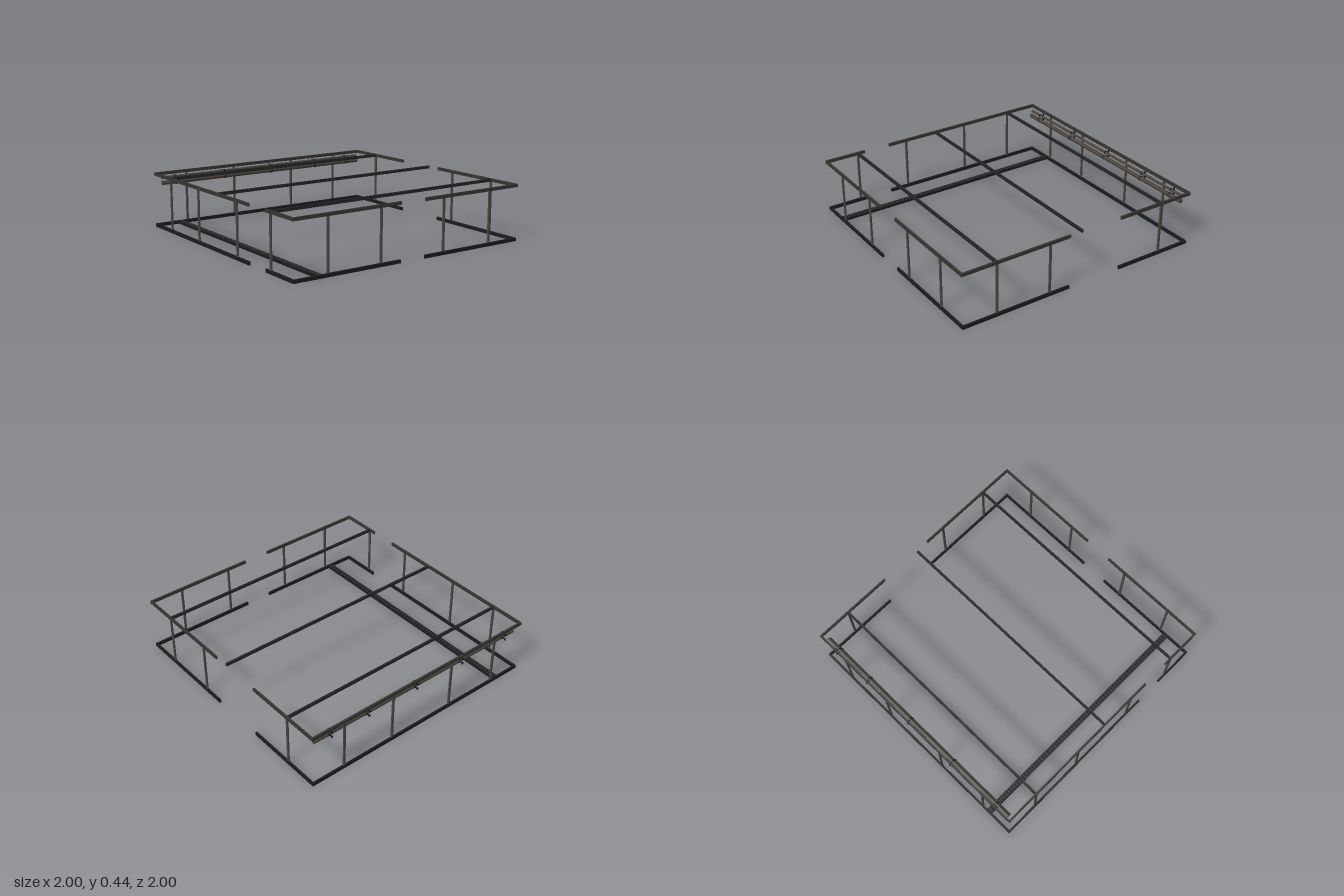
import * as THREE from 'three';

const mat = (name, color) => {
  const m = new THREE.MeshStandardMaterial({ color });
  m.name = name;
  return m;
};

export function createModel() {
  const root = new THREE.Group();
  root.name = 'wallFrame';
  const railGrey = mat('railGrey', 0x353431);
  const baseBlack = mat('baseBlack', 0x1a1b1d);
  const postGrey = mat('postGrey', 0x474643);
  const beamDark = mat('beamDark', 0x222526);
  const pipeBrown = mat('pipeBrown', 0x48413a);
  const clampBlack = mat('clampBlack', 0x151515);
  const slatGrey = mat('slatGrey', 0x3b403b);

  const box = (parent, name, m, w, h, d, x, y, z) => {
    const mesh = new THREE.Mesh(new THREE.BoxGeometry(w, h, d), m);
    mesh.name = name;
    mesh.position.set(x, y, z);
    parent.add(mesh);
  };

  // Walls: top and bottom rails run between the door gaps, posts join them
  const T = 0.014, C = 1 - T / 2;
  const posts = [-0.72, -0.28, 0.28, 0.72];
  const walls = [
    { name: 'frontWall', alongX: true, at: C, spans: [[-1, -0.11], [0.11, 1]] },
    { name: 'backWall', alongX: true, at: -C, spans: [[-1, 1]] },
    { name: 'rightWall', alongX: false, at: -C, spans: [[-1, 0.44], [0.66, 1]] },
    { name: 'leftWall', alongX: false, at: C, spans: [[-1, -0.34], [0.11, 1]] },
  ];
  for (const { name, alongX, at, spans } of walls) {
    const wall = new THREE.Group();
    wall.name = name;
    const bar = (part, m, length, across, h, s, y) => alongX
      ? box(wall, part, m, length, h, across, s, y, at)
      : box(wall, part, m, across, h, length, at, y, s);
    for (let [a, b] of spans) {
      // Side rails butt against the front and back rails
      if (!alongX) { a = Math.max(a, -1 + T); b = Math.min(b, 1 - T); }
      bar('topRail', railGrey, b - a, T, 0.024, (a + b) / 2, 0.426);
      bar('bottomRail', baseBlack, b - a, T, 0.026, (a + b) / 2, 0.013);
      for (const p of posts) {
        if (p > a && p < b) bar('post', postGrey, 0.016, 0.012, 0.388, p, 0.22);
      }
    }
    root.add(wall);
  }

  // Cross beams under the ceiling
  for (const z of [-0.72, 0, 0.72]) {
    box(root, 'crossBeam', beamDark, 2 - 2 * T, 0.022, 0.016, 0, 0.426, z);
  }

  // Floor channel with a slatted cover
  const channel = new THREE.Group();
  channel.name = 'floorChannel';
  const length = 2 - 2 * T;
  box(channel, 'channelBody', baseBlack, 0.044, 0.022, length, -0.78, 0.011, 0);
  const slats = 72;
  for (let i = 0; i < slats; i++) {
    const z = ((i + 0.5) / slats - 0.5) * length;
    box(channel, 'slat', slatGrey, 0.04, 0.003, 0.006, -0.78, 0.0225, z);
  }
  root.add(channel);

  // Two pipes along the back wall, held by clamps on short arms
  const pipes = new THREE.Group();
  pipes.name = 'pipes';
  const tube = (name, m, r, len, x, y, z) => {
    const mesh = new THREE.Mesh(new THREE.CylinderGeometry(r, r, len, 20), m);
    mesh.name = name;
    mesh.rotation.z = Math.PI / 2;
    mesh.position.set(x, y, z);
    pipes.add(mesh);
  };
  for (const [name, r, y, z] of [
    ['largePipe', 0.017, 0.356, -0.954],
    ['smallPipe', 0.011, 0.396, -0.965],
  ]) {
    tube(name, pipeBrown, r, 1.91, 0, y, z);
    for (const x of [-0.835, -0.39, 0.055, 0.5, 0.83]) {
      tube('clamp', clampBlack, r + 0.003, 0.008, x, y, z);
      const end = z - r;
      box(pipes, 'clampArm', clampBlack, 0.006, 0.006, end + 0.998, x, y, (end - 0.998) / 2);
      box(pipes, 'clampPlate', clampBlack, 0.012, 0.018, 0.004, x, y, -0.996);
    }
  }
  root.add(pipes);

  return root;
}
